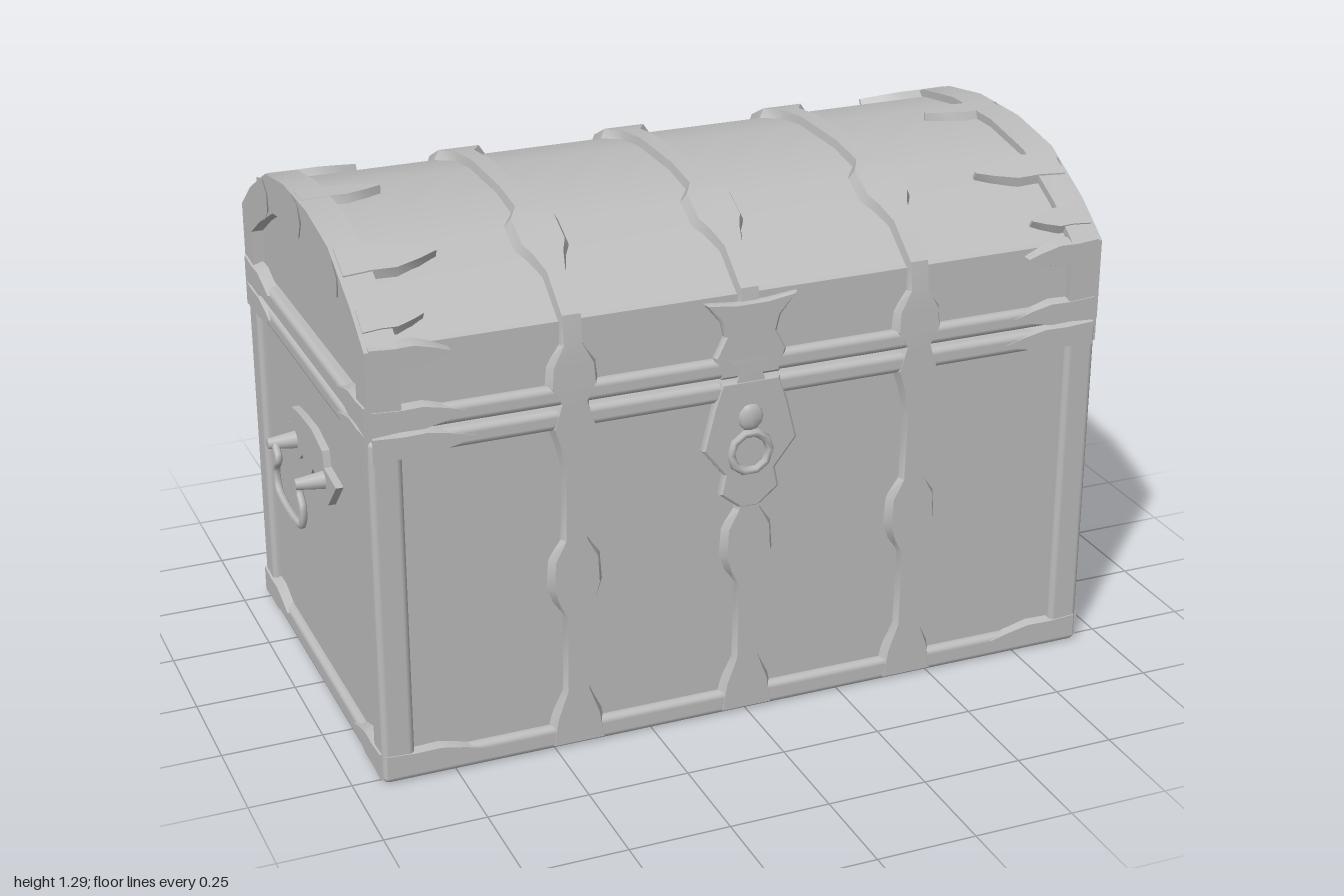
import * as THREE from 'three';
import { toCreasedNormals } from 'three/addons/utils/BufferGeometryUtils.js';
import { RoundedBoxGeometry } from 'three/addons/geometries/RoundedBoxGeometry.js';

const V = (x, y, z) => new THREE.Vector3(x, y, z);
const grey = new THREE.MeshStandardMaterial({ color: 0xbcbcbc });
grey.name = 'plain grey';

// Lid half profiles [z, y], from the front wall to the ridge
const outerHalf = [[0.53, 0.9], [0.53, 1.1], [0.43, 1.175], [0.27, 1.26], [0.1, 1.288]];
const coreHalf = [[0.51, 0.9], [0.505, 1.095], [0.41, 1.165], [0.26, 1.243], [0.1, 1.268]];
const innerHalf = [[0.45, 0.93], [0.45, 1.05], [0.36, 1.105], [0.22, 1.175], [0.08, 1.2]];
const fullProfile = half => [...half, ...half.slice().reverse().map(([z, y]) => [-z, y])];

export function createModel() {
  const chest = new THREE.Group();
  chest.name = 'treasureChest';

  const add = (name, geometry, parent = chest) => {
    const mesh = new THREE.Mesh(geometry, grey);
    mesh.name = name;
    parent.add(mesh);
    return mesh;
  };
  const bar = (name, w, h, d, x, y, z) =>
    add(name, new RoundedBoxGeometry(w, h, d, 2, 0.016)).position.set(x, y, z);

  // Shape drawn in (z, y), extruded along x and centred on xMid
  const extrudeX = (shape, depth, xMid) => {
    const g = new THREE.ExtrudeGeometry(shape, { depth, bevelEnabled: false });
    g.translate(0, 0, -depth / 2).rotateY(-Math.PI / 2);
    return toCreasedNormals(g.translate(xMid, 0, 0), 0.6);
  };
  const toShape = pts => new THREE.Shape(pts.map(([a, b]) => new THREE.Vector2(a, b)));

  // Bevelled metal strip along a path, varying in width
  const strip = (name, path, widths, side, thick) => {
    const pos = [];
    const rings = path.map((p, i) => {
      const t = path[Math.min(i + 1, path.length - 1)].clone()
        .sub(path[Math.max(i - 1, 0)]).normalize();
      const n = side.clone().cross(t).normalize();
      const w = widths[i];
      return [[-w, -0.01], [-w * 0.75, thick], [w * 0.75, thick], [w, -0.01]]
        .map(([s, h]) => p.clone().addScaledVector(side, s).addScaledVector(n, h));
    });
    const quad = (a, b, c, d) => [a, b, c, a, c, d].forEach(v => pos.push(v.x, v.y, v.z));
    for (let i = 0; i + 1 < rings.length; i++) {
      for (let k = 0; k < 4; k++) {
        const m = (k + 1) % 4;
        quad(rings[i][k], rings[i][m], rings[i + 1][m], rings[i + 1][k]);
      }
    }
    quad(...rings[0].slice().reverse());
    quad(...rings[rings.length - 1]);
    const g = new THREE.BufferGeometry();
    g.setAttribute('position', new THREE.Float32BufferAttribute(pos, 3));
    return add(name, toCreasedNormals(g, 0.5));
  };

  // Pointed bracket arm lying on a surface
  const finger = (name, start, dir, normal, length, w) => {
    const steps = [[0, 1], [0.3, 0.85], [0.55, 0.9], [0.8, 0.5], [1, 0.08]];
    strip(name, steps.map(([f]) => start.clone().addScaledVector(dir, f * length)),
      steps.map(s => s[1] * w), dir.clone().cross(normal).normalize(), 0.02);
  };

  // Box and domed lid
  add('boxBody', new THREE.BoxGeometry(1.82, 0.86, 1.02)).position.y = 0.45;
  add('lidShell', extrudeX(toShape(fullProfile(coreHalf)), 1.8, 0));

  // Horizontal rails: base, box rim and lid rim
  for (const [name, y, h] of [['baseRail', 0.03, 0.06], ['boxRim', 0.86, 0.05], ['lidRim', 0.92, 0.05]]) {
    for (const s of [-1, 1]) {
      bar(name, 1.86, h, 0.06, 0, y, s * 0.5);
      bar(name, 0.06, h, 1.06, s * 0.9, y, 0);
    }
  }

  // Corner posts and arched end frames
  for (const sx of [-1, 1]) {
    for (const sz of [-1, 1]) bar('cornerPost', 0.08, 0.87, 0.085, sx * 0.89, 0.445, sz * 0.4875);
    const frame = toShape(fullProfile(outerHalf));
    frame.holes.push(new THREE.Path(fullProfile(innerHalf).map(([z, y]) => new THREE.Vector2(z, y))));
    add('endArch', extrudeX(frame, 0.08, sx * 0.89));
    // Clasps on the end arch
    for (const [z, y, a] of [[0, 1.245, 0], [0.3, 1.195, -0.42], [-0.3, 1.195, 0.42]]) {
      const clasp = add('archClasp', new THREE.CylinderGeometry(0.055, 0.04, 0.012, 7));
      clasp.rotation.set(a, 0, Math.PI / 2);
      clasp.position.set(sx * 0.929, y - 0.005, z);
    }
  }

  // Three straps running up the front, over the lid and down the back
  const wall = [[0.01, 0.085], [0.08, 0.07], [0.15, 0.036], [0.35, 0.032], [0.39, 0.06], [0.43, 0.075],
    [0.5, 0.07], [0.55, 0.035], [0.72, 0.03], [0.79, 0.045], [0.84, 0.065], [0.9, 0.04]];
  const lidFront = [[0.51, 0.94, 0.07], [0.508, 0.99, 0.065], [0.506, 1.04, 0.03], [0.5, 1.1, 0.03],
    [0.41, 1.168, 0.03], [0.36, 1.194, 0.05], [0.33, 1.21, 0.07], [0.26, 1.246, 0.07], [0.21, 1.253, 0.03], [0.1, 1.268, 0.03]];
  const half = [...wall.map(([y, w]) => [0.511, y, w]), ...lidFront];
  const mirrored = half.slice().reverse().map(([z, y, w]) => [-z, y, w]);
  for (const x of [-0.44, 0, 0.44]) {
    const pts = [...half, ...mirrored];
    strip('strap', pts.map(([z, y]) => V(x, y, z)), pts.map(p => p[2]), V(1, 0, 0), 0.02);
  }

  // Bracket arms at the corners and along the lid ends
  for (const sx of [-1, 1]) {
    const inward = V(-sx, 0, 0);
    for (const sz of [-1, 1]) {
      const out = V(0, 0, sz), along = V(0, 0, -sz);
      for (const [y, w, len] of [[0.045, 0.04, 0.24], [0.86, 0.04, 0.24], [0.925, 0.04, 0.22], [1.075, 0.04, 0.19]]) {
        finger('frontBracket', V(sx * 0.92, y, sz * 0.512), inward, out, len, w);
      }
      for (const [y, w] of [[0.045, 0.045], [0.865, 0.04], [0.93, 0.045]]) {
        finger('endBracket', V(sx * 0.915, y, sz * 0.52), along, V(sx, 0, 0), 0.22, w);
      }
      finger('lidBracket', V(sx * 0.92, 1.22, sz * 0.31), inward, V(0, 0.88, sz * 0.47), 0.23, 0.055);
      finger('lidEdgeBracket', V(sx * 0.92, 1.135, sz * 0.455), inward, V(0, 0.8, sz * 0.6), 0.15, 0.04);
      // Triangular plate under each corner
      const foot = add('footPlate', new THREE.CylinderGeometry(0.15, 0.15, 0.012, 6));
      foot.scale.set(0.9, 1, 0.6);
      foot.position.set(sx * 0.78, 0.014, sz * 0.43);
    }
    finger('ridgeBracket', V(sx * 0.92, 1.269, -0.01), inward, V(0, 1, 0), 0.2, 0.05);
  }

  // Lock plate and hasp
  const plate = (name, side, depth, z) => {
    const outline = [...side, ...side.slice().reverse().map(([x, y]) => [-x, y])];
    const g = new THREE.ExtrudeGeometry(toShape(outline),
      { depth, bevelEnabled: true, bevelSize: 0.006, bevelThickness: 0.005, bevelSegments: 1 });
    add(name, toCreasedNormals(g, 0.4)).position.z = z;
  };
  plate('lockPlate', [[0.02, 0.56], [0.07, 0.6], [0.06, 0.65], [0.115, 0.72], [0.09, 0.82], [0.07, 0.88]], 0.012, 0.515);
  plate('hasp', [[0.07, 0.9], [0.085, 0.95], [0.06, 1.0], [0.07, 1.04], [0.11, 1.085], [0.04, 1.075]], 0.01, 0.515);
  const ring = add('lockRing', new THREE.TorusGeometry(0.05, 0.011, 6, 10));
  ring.position.set(0, 0.7, 0.532);
  const keyhole = add('lockBoss', new THREE.SphereGeometry(0.035, 8, 6));
  keyhole.scale.z = 0.35;
  keyhole.position.set(0, 0.79, 0.53);

  // Side handles: backing plate, two lugs and a hanging bail
  const backing = [[0.23, 0.64], [0.13, 0.65], [0.12, 0.69], [0.03, 0.71], [-0.08, 0.705], [-0.15, 0.695],
    [-0.17, 0.645], [-0.23, 0.62], [-0.18, 0.61], [-0.17, 0.565], [-0.1, 0.575], [-0.07, 0.6], [-0.02, 0.535],
    [0.02, 0.6], [0.08, 0.6], [0.1, 0.565], [0.15, 0.56]];
  for (const sx of [-1, 1]) {
    const handle = new THREE.Group();
    handle.name = sx > 0 ? 'leftHandle' : 'rightHandle';
    chest.add(handle);
    add('handlePlate', extrudeX(toShape(backing), 0.022, sx * 0.918), handle);
    for (const z of [-0.13, 0.12]) {
      const lug = add('handleLug', new THREE.CylinderGeometry(0.014, 0.024, 0.075, 8), handle);
      lug.rotation.z = -sx * Math.PI / 2;
      lug.position.set(sx * 0.9625, 0.615, z);
    }
    const bail = new THREE.CatmullRomCurve3([[0.62, 0.12], [0.585, 0.085], [0.55, 0.115], [0.5, 0.105], [0.485, 0.05],
      [0.485, -0.06], [0.5, -0.115], [0.55, -0.125], [0.585, -0.095], [0.62, -0.13]]
      .map(([y, z]) => V(sx * 0.982, y, z)));
    add('handleBail', new THREE.TubeGeometry(bail, 40, 0.01, 6), handle);
  }
  return chest;
}
